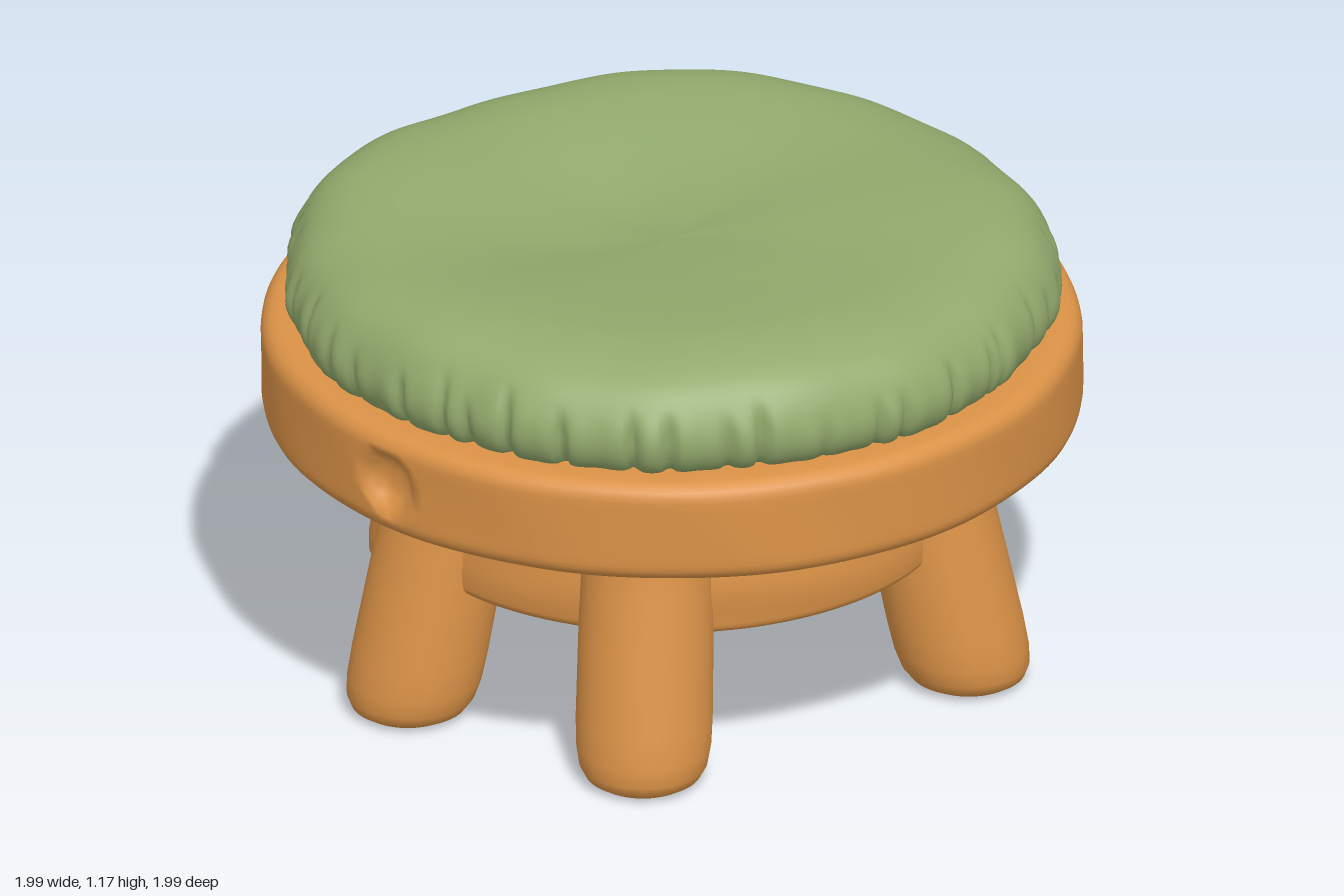
import * as THREE from 'three';
import { mergeVertices } from 'three/addons/utils/BufferGeometryUtils.js';

const wood = new THREE.MeshStandardMaterial({ color: 0xdb9247 });
wood.name = 'honey wood';
const cloth = new THREE.MeshStandardMaterial({ color: 0x92a96c });
cloth.name = 'sage cloth';

// Turns a profile, moves every vertex by a rule and smooths the result.
function turned(profile, segments, rule) {
  let g = new THREE.LatheGeometry(profile.map(([r, y]) => new THREE.Vector2(r, y)), segments);
  g.deleteAttribute('uv');
  g.deleteAttribute('normal');
  g = mergeVertices(g, 1e-5);
  const p = g.attributes.position;
  const v = new THREE.Vector3();
  for (let i = 0; i < p.count; i++) {
    v.fromBufferAttribute(p, i);
    rule(v);
    p.setXYZ(i, v.x, v.y, v.z);
  }
  g.computeVertexNormals();
  return g;
}

// Disc profile with rounded rims; extra points keep the flat faces crisp.
function discProfile(radius, y0, y1, round) {
  const pts = [[0, y0], [radius - round - 0.03, y0]];
  for (let i = 0; i <= 5; i++) {
    const a = (i / 5) * Math.PI / 2;
    pts.push([radius - round + round * Math.sin(a), y0 + round - round * Math.cos(a)]);
  }
  for (let i = 1; i < 8; i++) pts.push([radius, y0 + round + (y1 - y0 - 2 * round) * i / 8]);
  for (let i = 0; i <= 5; i++) {
    const a = (i / 5) * Math.PI / 2;
    pts.push([radius - round + round * Math.cos(a), y1 - round + round * Math.sin(a)]);
  }
  pts.push([radius - round - 0.03, y1], [0, y1]);
  return pts;
}

// Scales a vertex sideways without changing its height.
function widen(v, k) {
  v.x *= k;
  v.z *= k;
}

function addMesh(group, name, geometry, material) {
  const mesh = new THREE.Mesh(geometry, material);
  mesh.name = name;
  group.add(mesh);
}

function seeded(seed) {
  return () => (seed = (seed * 16807) % 2147483647) / 2147483647;
}

export function createModel() {
  const stool = new THREE.Group();
  stool.name = 'stool';

  // Seat board: hewn edge with one knot hole in its side
  const knot = new THREE.Vector3(-0.98, 0.785, 0.17);
  addMesh(stool, 'seatBoard', turned(discProfile(0.995, 0.65, 0.91, 0.045), 240, v => {
    const a = Math.atan2(v.x, v.z);
    const d = v.distanceTo(knot);
    let k = 1 + 0.003 * Math.sin(a * 9 + v.y * 12) * Math.sin(a * 4);
    if (d < 0.08) k -= 0.045 * (1 - (d / 0.08) ** 4);
    widen(v, k);
  }), wood);

  // Apron under the board
  addMesh(stool, 'apron', turned(discProfile(0.68, 0.355, 0.68, 0.025), 96, v => {
    const a = Math.atan2(v.x, v.z);
    widen(v, 1 + 0.008 * Math.sin(v.y * 32 + Math.sin(a * 3)));
  }), wood);

  // Five splayed legs, given by the centres of their feet
  const feet = [[0.48, 0.565], [-0.49, 0.555], [0.695, -0.35], [-0.722, -0.095], [-0.2, -0.72]];
  const legProfile = [[0, 0], [0.09, 0], [0.115, 0.004], [0.14, 0.018], [0.156, 0.045],
    [0.164, 0.09], [0.166, 0.16], [0.164, 0.35], [0.162, 0.5], [0.164, 0.6], [0.175, 0.66], [0.175, 0.72]];
  feet.forEach(([x, z], i) => {
    addMesh(stool, 'leg' + (i + 1), turned(legProfile, 40, v => {
      const lean = 1 - 0.3 * v.y;
      v.x += x * lean;
      v.z += z * lean;
    }), wood);
  });

  // Cushion: a plump pad with a sat-in hollow and gathered pleats round the edge
  const curve = new THREE.CatmullRomCurve3([[0.86, 0.9], [0.905, 0.915], [0.93, 0.955], [0.935, 1.0],
    [0.92, 1.055], [0.88, 1.11], [0.81, 1.15], [0.7, 1.172], [0.55, 1.172], [0.4, 1.165],
    [0.2, 1.16], [0, 1.16]].map(([r, y]) => new THREE.Vector3(r, y, 0)));
  const cushionProfile = curve.getSpacedPoints(56).map(p => [Math.max(0, p.x), p.y]);
  cushionProfile.unshift([0, 0.9]);
  const random = seeded(71);
  const pleats = Array.from({ length: 46 }, (_, i) => ({
    angle: (i + 0.7 * random()) / 46 * Math.PI * 2 - Math.PI,
    depth: 0.008 + 0.02 * random(),
    reach: 1.03 + 0.08 * random()
  }));
  addMesh(stool, 'cushion', turned(cushionProfile, 480, v => {
    const r = Math.hypot(v.x, v.z);
    const a = Math.atan2(v.x, v.z);
    const { x, z } = v;
    if (v.y > 1.02) {
      const top = Math.min(1, (v.y - 1.02) / 0.12);
      v.y += top * 0.009 * (Math.sin(x * 5 + 1) * Math.cos(z * 4) + Math.sin(a * 5 + 2) * r);
      v.y -= top * 0.06 * Math.exp(-((x + 0.05) ** 2 / 0.14 + (z + 0.2) ** 2 / 0.1));
      v.y -= top * 0.025 * Math.exp(-(r * r) / 0.22);
    }
    if (r > 0.75) {
      let k = 1 + 0.006 * Math.sin(a * 7 + 1) + 0.004 * Math.sin(a * 17);
      for (const p of pleats) {
        const d = Math.abs(Math.atan2(Math.sin(a - p.angle), Math.cos(a - p.angle)));
        const fade = THREE.MathUtils.clamp((p.reach - v.y) / 0.06, 0, 1);
        k -= p.depth * fade * Math.exp(-((d / 0.013) ** 2));
        k += 0.006 * fade * Math.exp(-(((d - 0.045) / 0.03) ** 2));
      }
      widen(v, k);
    }
  }), cloth);

  return stool;
}
